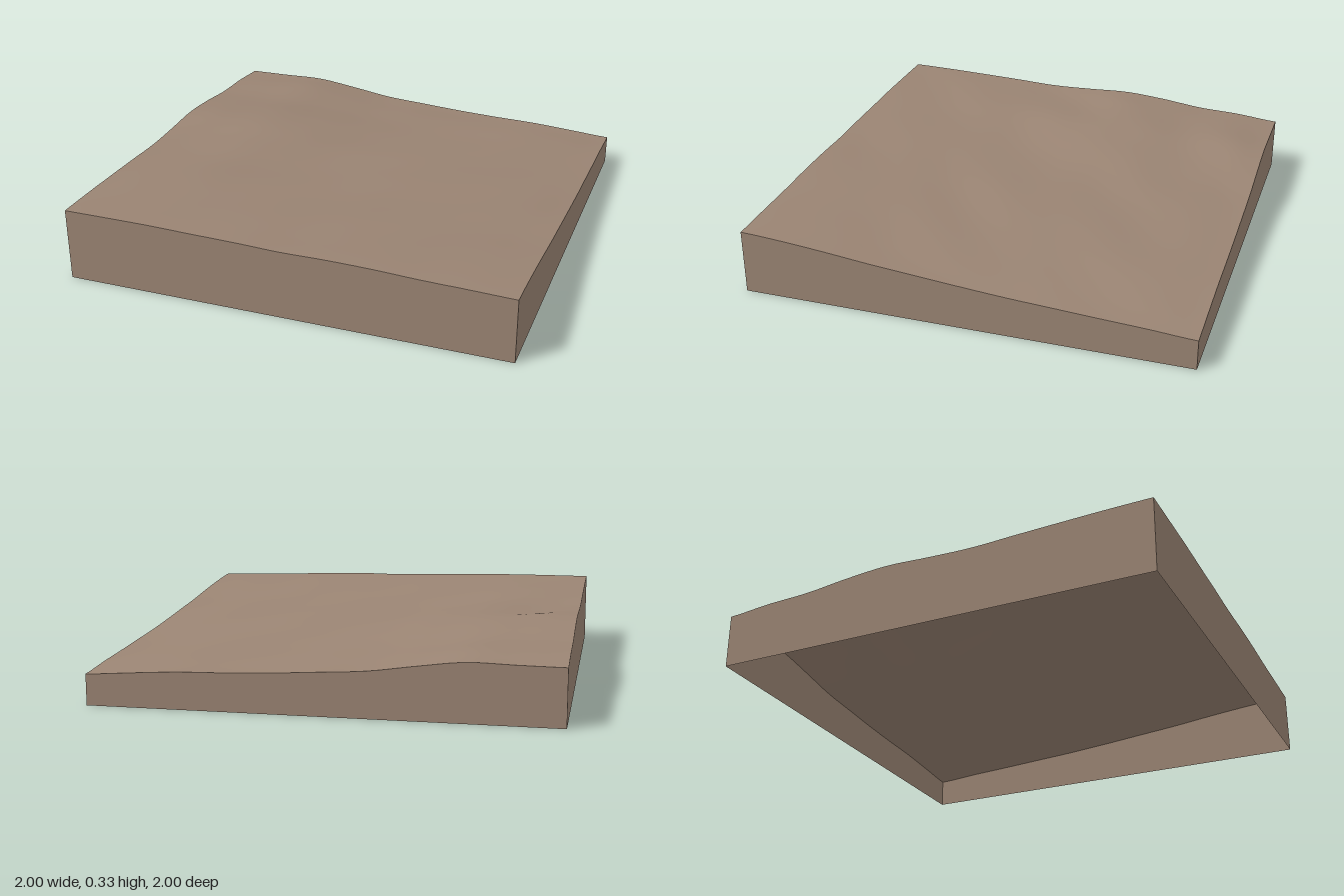
import * as THREE from 'three';

const SEG = 48;

// Smooth height profile through evenly spaced stations from -1 to 1
function profile(heights) {
  const curve = new THREE.SplineCurve(heights.map((h, i) => new THREE.Vector2(i, h)));
  return (s) => curve.getPoint((s + 1) / 2).y;
}

// Rim heights: front and back run along x, left and right along z
const front = profile([0.33, 0.33, 0.329, 0.324, 0.32, 0.313, 0.314, 0.31, 0.301, 0.296, 0.29]);
const back = profile([0.245, 0.247, 0.25, 0.226, 0.198, 0.185, 0.173, 0.165, 0.16, 0.148, 0.135]);
const low = profile([0.245, 0.264, 0.274, 0.298, 0.313, 0.306, 0.302, 0.311, 0.319, 0.326, 0.33]);
const high = profile([0.135, 0.149, 0.16, 0.172, 0.184, 0.2, 0.218, 0.236, 0.258, 0.277, 0.29]);

// Gentle diagonal dips: x, z, drop
const dips = [
  [-0.5, -0.8, 0.012], [-0.12, -0.38, 0.014], [-0.85, -0.1, 0.012],
  [-0.4, 0.08, 0.012], [0.25, 0.2, 0.014], [-0.65, 0.6, 0.01],
  [0.1, 0.65, 0.008], [0.65, -0.5, 0.008], [0.75, 0.3, 0.008],
];

// Blend the four rims across the surface, then add the dips away from the rim
function height(x, z) {
  const u = (x + 1) / 2, v = (z + 1) / 2;
  const rims = (1 - v) * back(x) + v * front(x) + (1 - u) * low(z) + u * high(z);
  const corners = (1 - u) * (1 - v) * back(-1) + u * (1 - v) * back(1)
    + (1 - u) * v * front(-1) + u * v * front(1);
  let y = rims - corners;
  const mask = Math.min(1, 4 * (1 - x * x)) * Math.min(1, 4 * (1 - z * z));
  for (const [cx, cz, drop] of dips) {
    const across = ((x - cx) * 0.64 + (z - cz) * 0.77) / 0.13;
    const along = ((x - cx) * 0.77 - (z - cz) * 0.64) / 0.3;
    y -= mask * drop * across * Math.exp(-(across * across + along * along) / 2);
  }
  return y;
}

export function createModel() {
  const model = new THREE.Group();
  model.name = 'terrainTile';
  const earth = new THREE.MeshStandardMaterial({ color: 0x9a8473, side: THREE.DoubleSide });
  earth.name = 'earth brown';

  // Rolling ground surface
  const ground = new THREE.PlaneGeometry(2, 2, SEG, SEG).rotateX(-Math.PI / 2);
  const p = ground.attributes.position;
  for (let i = 0; i < p.count; i++) p.setY(i, height(p.getX(i), p.getZ(i)));
  ground.computeVertexNormals();
  const groundMesh = new THREE.Mesh(ground, earth);
  groundMesh.name = 'groundSurface';
  model.add(groundMesh);

  // Four skirt walls down to the base, open underneath
  const walls = [
    ['frontWall', 0], ['leftWall', Math.PI / 2], ['backWall', Math.PI], ['rightWall', -Math.PI / 2],
  ];
  for (const [name, angle] of walls) {
    const wall = new THREE.PlaneGeometry(2, 1, SEG, 1).translate(0, 0.5, 1).rotateY(angle);
    const w = wall.attributes.position;
    for (let i = 0; i < w.count; i++) {
      w.setY(i, w.getY(i) > 0.5 ? height(w.getX(i), w.getZ(i)) : 0);
    }
    const mesh = new THREE.Mesh(wall, earth);
    mesh.name = name;
    model.add(mesh);
  }
  return model;
}
